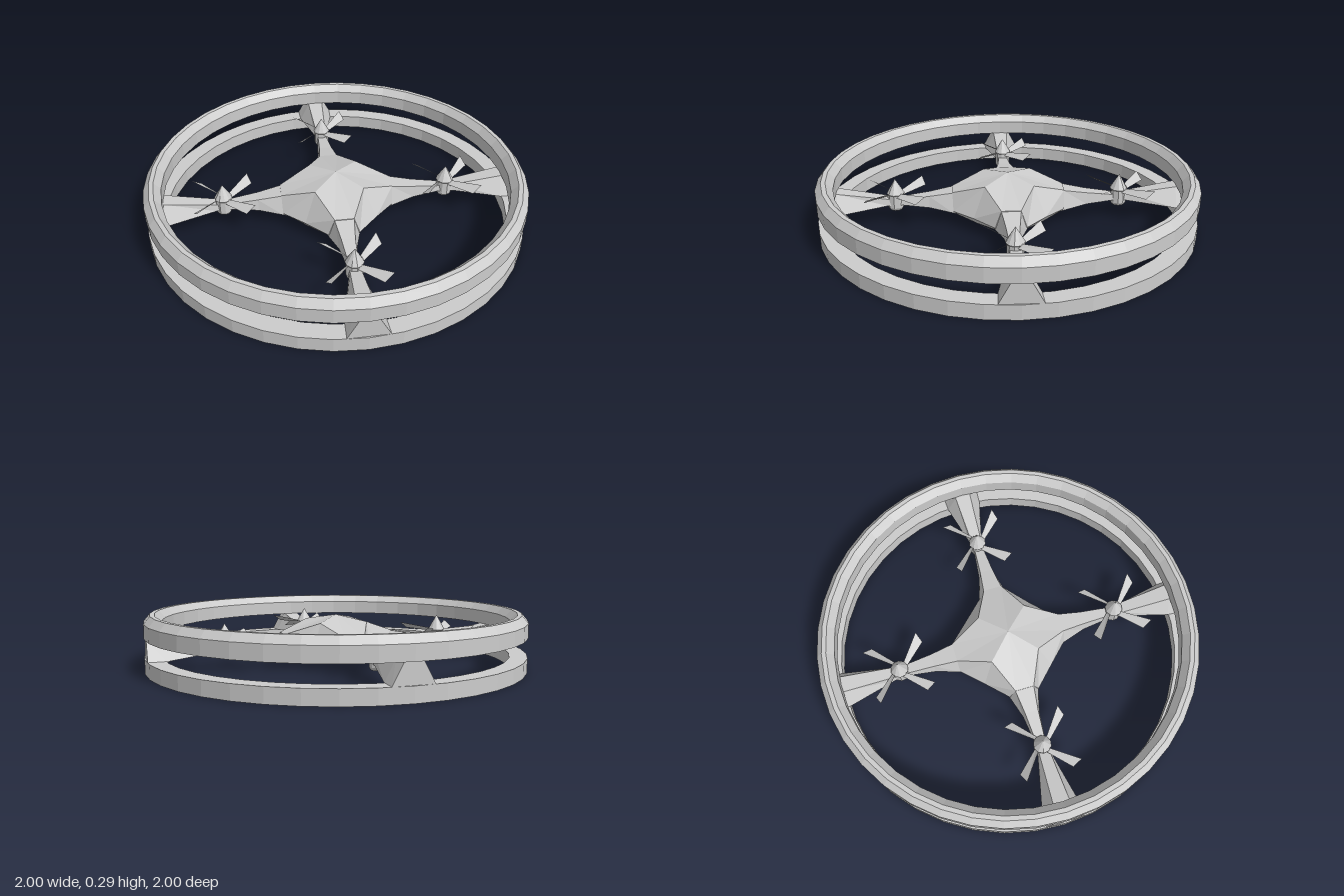
import * as THREE from 'three';

const material = new THREE.MeshStandardMaterial({ color: 0xcccccc, flatShading: true });
const bladeMaterial = new THREE.MeshStandardMaterial({ color: 0xcccccc, flatShading: true, side: THREE.DoubleSide });

function mesh(name, geometry, mat = material) {
  const m = new THREE.Mesh(geometry, mat);
  m.name = name;
  return m;
}

// Skins a stack of equal-length cross-sections and closes both ends with fans.
function loft(rings) {
  const n = rings[0].length;
  const caps = [rings[0], rings[rings.length - 1]].map((ring) =>
    [0, 1, 2].map((k) => ring.reduce((sum, p) => sum + p[k], 0) / n));
  return skin(rings, caps[0], caps[1]);
}

function skin(rings, startPoint, endPoint) {
  const n = rings[0].length;
  const points = [...rings.flat(), startPoint, endPoint];
  const start = points.length - 2, end = points.length - 1;
  const last = (rings.length - 1) * n;
  const index = [];
  for (let i = 0; i < n; i++) {
    const j = (i + 1) % n;
    for (let r = 0; r < last; r += n) {
      index.push(r + i, r + j, r + n + j, r + i, r + n + j, r + n + i);
    }
    index.push(start, j, i, end, last + i, last + j);
  }
  const g = new THREE.BufferGeometry();
  g.setAttribute('position', new THREE.Float32BufferAttribute(points.flat(), 3));
  g.setIndex(index);
  g.computeVertexNormals();
  return g;
}

// Closed ring turned from a [radius, height] profile.
function guardRing(name, profile) {
  const pts = [...profile, profile[0]].map(([r, y]) => new THREE.Vector2(r, y));
  return mesh(name, new THREE.LatheGeometry(pts, 40));
}

// Four-cornered body: flat underside, star-shaped shoulders, shallow domed top.
function body() {
  const ring = (mid, far, near, yMid, yCorner) => {
    const out = [];
    for (let q = 0; q < 4; q++) {
      const c = Math.round(Math.cos(q * Math.PI / 2)), s = Math.round(Math.sin(q * Math.PI / 2));
      for (const [x, z, y] of [[mid, 0, yMid], [far, near, yCorner], [near, far, yCorner]]) {
        out.push([x * c + z * s, y, -(z * c - x * s) + 0]);
      }
    }
    // Order the corners counter-clockwise as seen from above.
    return out.sort((a, b) => Math.atan2(-a[2], a[0]) - Math.atan2(-b[2], b[0]));
  };
  return mesh('body', skin(
    [ring(0.24, 0.24, 0.14, 0.05, 0.055), ring(0.265, 0.265, 0.15, 0.085, 0.08), ring(0.18, 0.245, 0.175, 0.235, 0.175)],
    [0, 0.05, 0], [0, 0.265, 0]));
}

// Arm along +x: trapezoid sections [distance, bottom y, top y, bottom half width, top half width].
function arm() {
  const sections = [
    [0.2, 0.06, 0.19, 0.1, 0.06],
    [0.295, 0.07, 0.172, 0.08, 0.05],
    [0.42, 0.088, 0.15, 0.045, 0.035],
    [0.56, 0.1, 0.132, 0.03, 0.025],
    [0.64, 0.1, 0.135, 0.035, 0.028],
    [0.9, 0.074, 0.176, 0.095, 0.042],
    [0.992, 0.074, 0.176, 0.1, 0.045],
  ];
  return mesh('arm', loft(sections.map(([x, y0, y1, w0, w1]) =>
    [[x, y0, w0], [x, y0, -w0], [x, y1, -w1], [x, y1, w1]])));
}

// Motor can with a pointed cap.
function motor() {
  const profile = [[0, 0.07], [0.034, 0.07], [0.043, 0.085], [0.043, 0.155], [0.047, 0.16], [0.03, 0.19], [0, 0.24]];
  return mesh('motor', new THREE.LatheGeometry(profile.map(([r, y]) => new THREE.Vector2(r, y)), 10));
}

// Thin pitched blade along +x, flaring towards its tip.
function blade() {
  const g = new THREE.BufferGeometry();
  g.setAttribute('position', new THREE.Float32BufferAttribute([
    0.02, 0.145, 0.022, 0.19, 0.155, 0.028, 0.21, 0.19, -0.022, 0.02, 0.162, 0.004,
  ], 3));
  g.setIndex([0, 1, 2, 0, 2, 3]);
  g.computeVertexNormals();
  return mesh('propellerBlade', g, bladeMaterial);
}

export function createModel() {
  const model = new THREE.Group();
  model.name = 'quadcopter';

  // Upper ring is chamfered on top, lower ring is square in section.
  model.add(guardRing('upperGuardRing',
    [[0.91, 0.175], [1, 0.175], [1, 0.25], [0.968, 0.288], [0.945, 0.288], [0.91, 0.25]]));
  model.add(guardRing('lowerGuardRing', [[0.91, 0], [1, 0], [1, 0.075], [0.91, 0.075]]));
  model.add(body());

  // One arm with its motor and propeller on each diagonal.
  for (let i = 0; i < 4; i++) {
    const angle = Math.PI / 4 + i * Math.PI / 2;
    const unit = new THREE.Group();
    unit.name = 'rotorArm';
    unit.rotation.y = angle;
    unit.add(arm());
    const rotor = new THREE.Group();
    rotor.name = 'rotor';
    rotor.position.x = 0.6;
    rotor.rotation.y = -angle;
    rotor.add(motor());
    for (let k = 0; k < 4; k++) {
      const b = blade();
      b.rotation.y = k * Math.PI / 2;
      rotor.add(b);
    }
    unit.add(rotor);
    model.add(unit);
  }
  return model;
}
